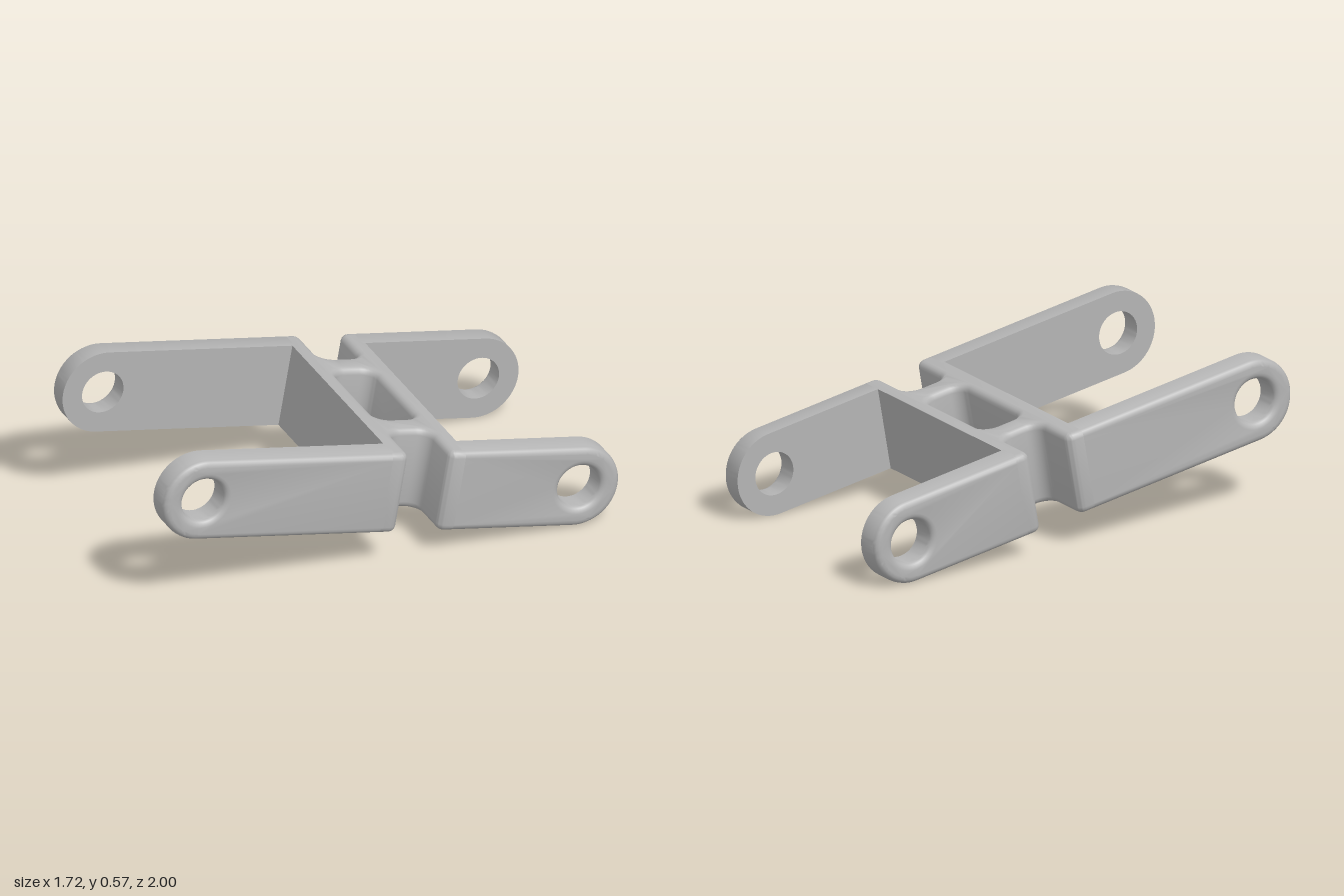
import * as THREE from 'three';
import { toCreasedNormals } from 'three/addons/utils/BufferGeometryUtils.js';

const W = 0.495;            // half width
const T = 0.095;            // arm thickness
const R = 0.155;            // half height and arm tip radius
const B = 0.025;            // edge rounding
const PIN = 0.735;          // distance of pin holes from the middle
const FRONT = [-0.045, 0.02];   // front wall, along the length
const BACK = [-0.265, -0.205];  // back wall, along the length

// Right-angled outline; each corner is [x, y, radius]
function roundedPath(path, corners) {
  const n = corners.length;
  const toward = (a, b, d) => {
    const l = Math.hypot(b[0] - a[0], b[1] - a[1]);
    return [a[0] + (b[0] - a[0]) * d / l, a[1] + (b[1] - a[1]) * d / l];
  };
  corners.forEach((c, i) => {
    const prev = corners[(i + n - 1) % n], next = corners[(i + 1) % n];
    const r = c[2], s = toward(c, prev, r), e = toward(c, next, r);
    if (i === 0) path.moveTo(...s); else path.lineTo(...s);
    if (r > 0) path.bezierCurveTo(...toward(c, prev, r * 0.45), ...toward(c, next, r * 0.45), ...e);
  });
  path.closePath();
  return path;
}

function extrude(shape, depth, curveSegments) {
  return new THREE.ExtrudeGeometry(shape, {
    depth, curveSegments, bevelEnabled: true, bevelThickness: B,
    bevelSize: B, bevelOffset: -B, bevelSegments: 4,
  });
}

function finish(geometry, rule) {
  const p = geometry.attributes.position, v = new THREE.Vector3();
  for (let i = 0; i < p.count; i++) {
    rule(v.fromBufferAttribute(p, i));
    p.setXYZ(i, v.x, v.y, v.z);
  }
  return toCreasedNormals(geometry, 0.6);
}

// Two cross walls joined by two webs, with a slot between
function coreGeometry() {
  const f = FRONT[1] + B, b = BACK[0] - B, n1 = FRONT[0], n0 = BACK[1];
  const web = 0.295, slot = 0.2, r = 0.03, q = 0.05;
  const shape = roundedPath(new THREE.Shape(), [
    [W, f, 0], [-W, f, 0], [-W, n1, r], [-web, n1, q], [-web, n0, q], [-W, n0, r],
    [-W, b, 0], [W, b, 0], [W, n0, r], [web, n0, q], [web, n1, q], [W, n1, r],
  ]);
  shape.holes.push(roundedPath(new THREE.Path(), [
    [-slot, n0, q], [slot, n0, q], [slot, n1, q], [-slot, n1, q],
  ]));
  // Flatten the outer wall faces so their edges stay sharp
  return finish(extrude(shape, 2 * R - 2 * B, 8), v => {
    v.y = THREE.MathUtils.clamp(v.y, BACK[0], FRONT[1]);
    v.z -= R - B;
  }).rotateX(Math.PI / 2);
}

// Arm with a round end and a pin hole, rounded on the outer side only
function armGeometry(dir, root) {
  const shape = new THREE.Shape();
  shape.moveTo(dir * root, -R);
  shape.lineTo(dir * PIN, -R);
  shape.absarc(dir * PIN, 0, R, -Math.PI / 2, Math.PI / 2, dir < 0);
  shape.lineTo(dir * root, R);
  shape.closePath();
  const hole = new THREE.Path();
  hole.absarc(dir * PIN, 0, 0.08, 0, Math.PI * 2, false);
  shape.holes.push(hole);
  return finish(extrude(shape, T - B, 24), v => {
    v.z = Math.max(v.z, 0);
    if (Math.abs(v.x) < root + B + 0.002) v.x = dir * (root - 0.01);
  });
}

export function createModel() {
  const metal = new THREE.MeshStandardMaterial({ color: 0xb4b4b4 });
  metal.name = 'light grey';

  const bracket = new THREE.Group();
  bracket.name = 'bracket';

  const core = new THREE.Mesh(coreGeometry(), metal);
  core.name = 'core';
  bracket.add(core);

  for (const side of [-1, 1]) {
    for (const end of [-1, 1]) {
      const root = end > 0 ? FRONT[1] : -BACK[0];
      const arm = new THREE.Mesh(armGeometry(-side * end, root), metal);
      arm.name = (end > 0 ? 'front' : 'back') + (side > 0 ? 'Left' : 'Right') + 'Arm';
      arm.rotation.y = side * Math.PI / 2;
      arm.position.x = side * (W - T);
      bracket.add(arm);
    }
  }

  // Turned and tilted pose
  bracket.rotation.set(-Math.PI / 18, -Math.PI / 6, 0, 'YXZ');
  bracket.position.y = 0.2826;

  const model = new THREE.Group();
  model.name = 'doubleForkBracket';
  model.add(bracket);
  return model;
}
